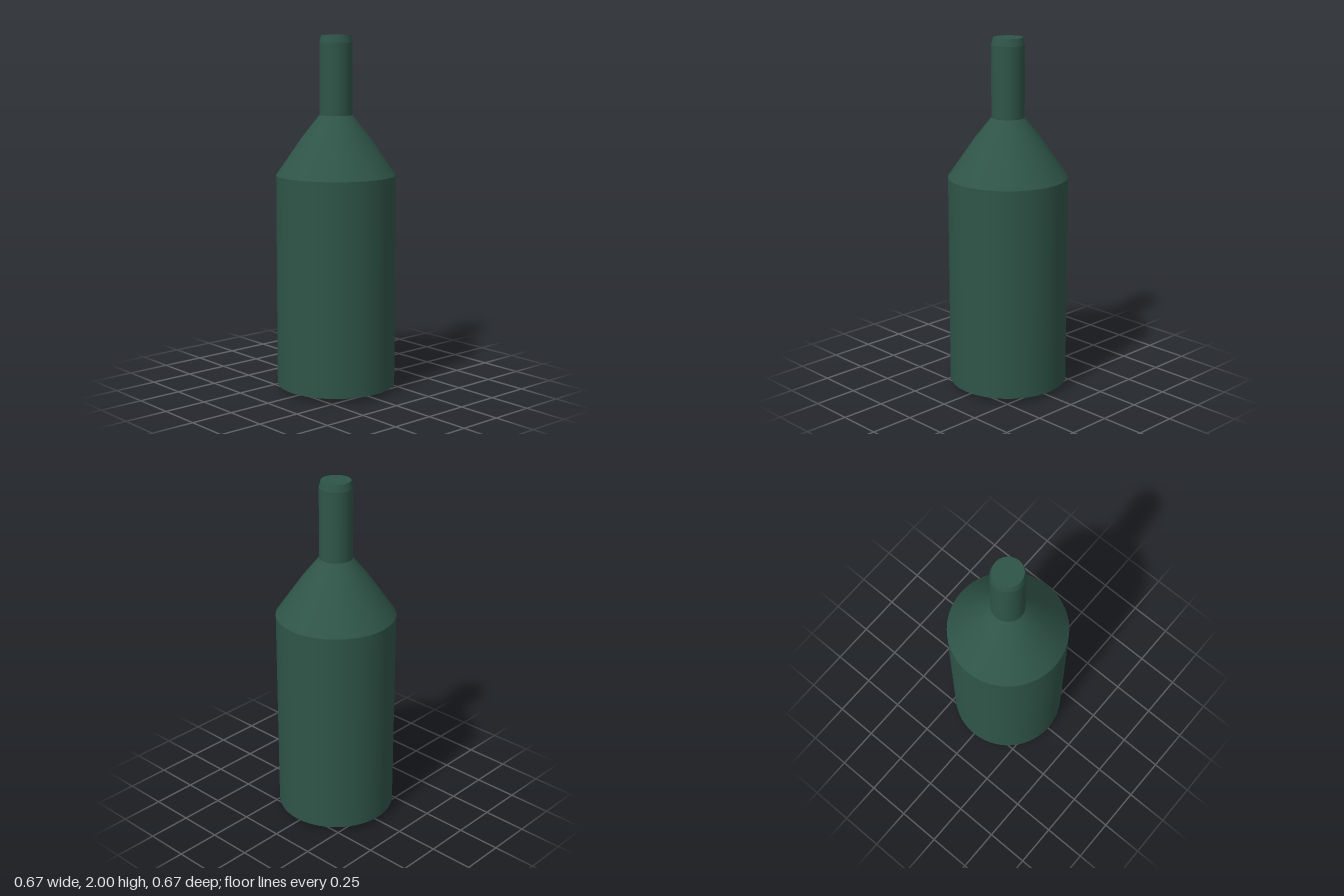
import * as THREE from 'three';

export function createModel() {
  const group = new THREE.Group();
  group.name = 'bottle';
  const glass = new THREE.MeshStandardMaterial({ color: 0x2f5548 });
  glass.name = 'dark green glass';

  // Each band is smooth in itself; the joints between bands stay sharp.
  const bands = {
    base: [[0, 0], [0.26, 0]],
    baseBevel: [[0.26, 0], [0.335, 0.025]],
    body: [[0.335, 0.025], [0.335, 1.225]],
    shoulder: [[0.335, 1.225], [0.187, 1.44], [0.092, 1.56]],
    neck: [[0.092, 1.56], [0.092, 1.96]],
    lip: [[0.092, 1.96], [0.082, 2]],
    top: [[0.082, 2], [0, 2]],
  };
  for (const [name, profile] of Object.entries(bands)) {
    const points = profile.map(([r, y]) => new THREE.Vector2(r, y));
    const mesh = new THREE.Mesh(new THREE.LatheGeometry(points, 96), glass);
    mesh.name = name;
    group.add(mesh);
  }
  return group;
}
